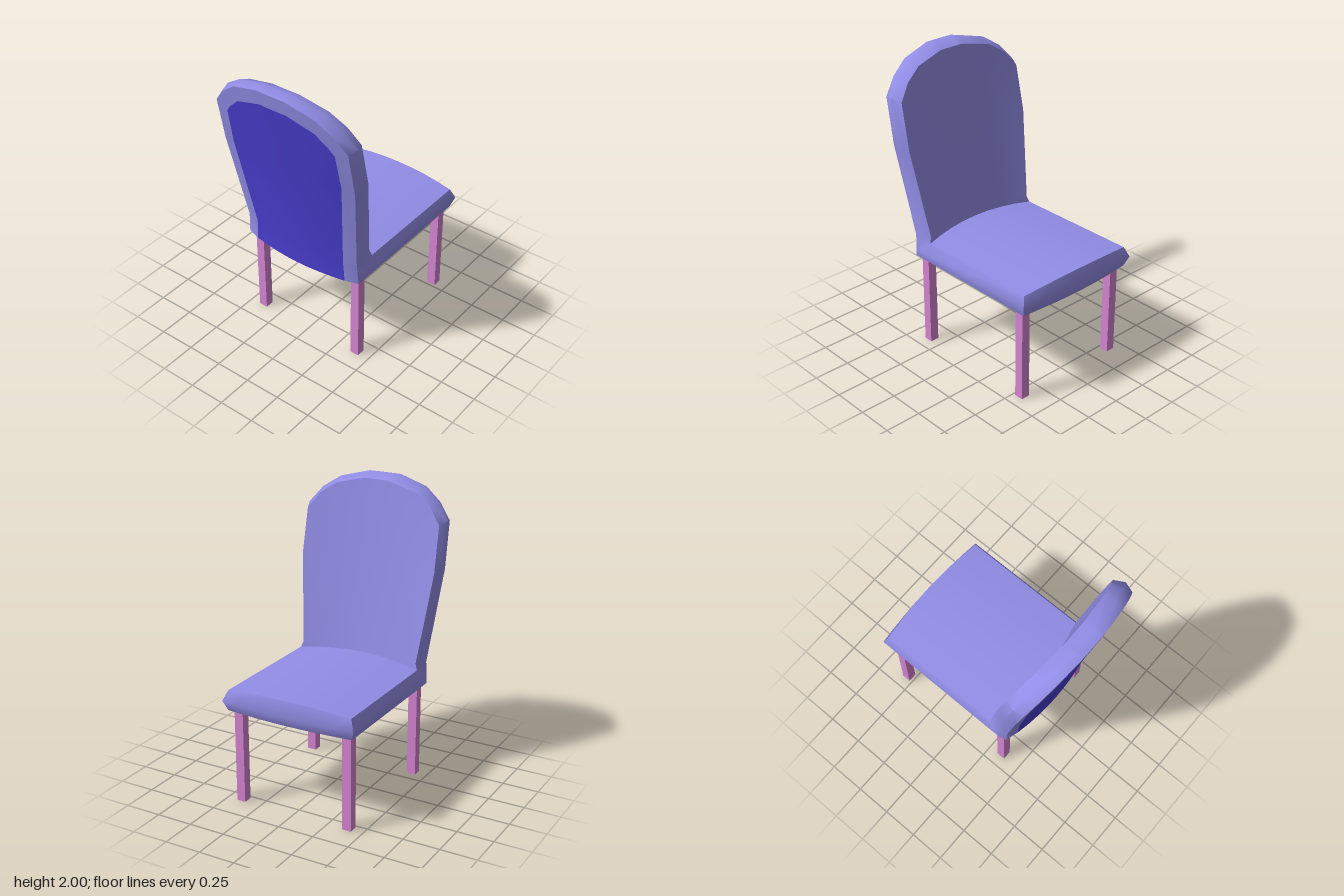
import * as THREE from 'three';
import { toCreasedNormals } from 'three/addons/utils/BufferGeometryUtils.js';

const COLS = 8;

// One row across the chair: half width, height, depth at the centre, bow, crown
function rowPoints([hw, y, z, bow, crown = 0]) {
  const points = [];
  for (let j = 0; j <= COLS; j++) {
    const u = (j / COLS) * 2 - 1;
    const x = u * hw;
    points.push([x, y + crown * (1 - u * u), z + bow * x * x]);
  }
  return points;
}

function quad(out, a, b, c, d) {
  out.push(...a, ...b, ...c, ...a, ...c, ...d);
}

// Surface spanning every row of a layer
function fill(out, rows, flip) {
  for (let i = 0; i < rows.length - 1; i++) {
    for (let j = 0; j < COLS; j++) {
      const a = rows[i][j], b = rows[i][j + 1], c = rows[i + 1][j + 1], d = rows[i + 1][j];
      if (flip) quad(out, a, b, c, d);
      else quad(out, a, d, c, b);
    }
  }
}

// Closed outline of a layer: front edge, one side, top edge, other side
function outline(rows) {
  const last = rows.length - 1;
  return [
    ...rows[0],
    ...rows.slice(1, last).map((r) => r[COLS]),
    ...[...rows[last]].reverse(),
    ...rows.slice(1, last).reverse().map((r) => r[0]),
  ];
}

// Band joining the outlines of two layers
function band(out, rowsA, rowsB) {
  const a = outline(rowsA), b = outline(rowsB);
  for (let k = 0; k < a.length; k++) {
    const n = (k + 1) % a.length;
    quad(out, a[k], a[n], b[n], b[k]);
  }
}

function toMesh(name, positions, material, crease) {
  const geometry = new THREE.BufferGeometry();
  geometry.setAttribute('position', new THREE.Float32BufferAttribute(positions, 3));
  geometry.computeVertexNormals();
  const mesh = new THREE.Mesh(toCreasedNormals(geometry, crease), material);
  mesh.name = name;
  return mesh;
}

export function createModel() {
  const model = new THREE.Group();
  model.name = 'chair';

  const lavender = new THREE.MeshStandardMaterial({ color: 0x928de6 });
  lavender.name = 'lavender upholstery';
  const blue = new THREE.MeshStandardMaterial({ color: 0x4a3fd0 });
  blue.name = 'deep blue lining';
  const pink = new THREE.MeshStandardMaterial({ color: 0xd585d3 });
  pink.name = 'pink legs';

  // Each layer runs from the seat's front edge, round the fold, up the backrest
  const cushion = [
    [0.445, 0.79, -0.64, 0.13, 0.028], [0.445, 0.79, 0.33, -0.3, 0.028],
    [0.43, 0.83, 0.335, -0.3, 0.01], [0.495, 1.43, 0.44, -0.21],
    [0.49, 1.735, 0.493, -0.17], [0.41, 1.84, 0.511, -0.17],
    [0.3, 1.915, 0.524, -0.17], [0.1, 1.965, 0.532, -0.17],
  ].map(rowPoints);
  const edge = [
    [0.475, 0.72, -0.67, 0.12], [0.475, 0.72, 0.42, -0.3],
    [0.455, 0.8, 0.41, -0.3], [0.525, 1.43, 0.51, -0.21],
    [0.52, 1.755, 0.57, -0.17], [0.43, 1.865, 0.59, -0.17],
    [0.31, 1.945, 0.603, -0.17], [0.1, 2.0, 0.612, -0.17],
  ].map(rowPoints);
  const rim = [
    [0.45, 0.65, -0.64, 0.13], [0.45, 0.65, 0.475, -0.3],
    [0.44, 0.8, 0.48, -0.3], [0.505, 1.43, 0.585, -0.21],
    [0.5, 1.74, 0.635, -0.17], [0.415, 1.845, 0.652, -0.17],
    [0.3, 1.93, 0.665, -0.17], [0.1, 1.985, 0.672, -0.17],
  ].map(rowPoints);
  const panel = [
    [0.36, 0.65, -0.58, 0.1], [0.36, 0.65, 0.48, -0.3],
    [0.35, 0.8, 0.482, -0.3], [0.42, 1.45, 0.588, -0.21],
    [0.41, 1.7, 0.628, -0.17], [0.375, 1.745, 0.635, -0.17],
    [0.29, 1.825, 0.648, -0.17], [0.1, 1.885, 0.658, -0.17],
  ].map(rowPoints);

  // Seat and backrest upholstery with its rounded rim
  const upholstery = [];
  fill(upholstery, cushion, false);
  band(upholstery, cushion, edge);
  band(upholstery, edge, rim);
  band(upholstery, rim, panel);
  model.add(toMesh('seatAndBackrest', upholstery, lavender, 0.9));

  // Lining under the seat and behind the backrest
  const lining = [];
  fill(lining, panel, true);
  model.add(toMesh('lining', lining, blue, 0.6));

  // Four square legs
  const legGeometry = new THREE.BoxGeometry(0.062, 0.652, 0.062);
  for (const [end, z] of [['front', -0.55], ['rear', 0.35]]) {
    for (const side of [-1, 1]) {
      const leg = new THREE.Mesh(legGeometry, pink);
      leg.name = `${end}Leg${side > 0 ? 'Left' : 'Right'}`;
      leg.position.set(side * 0.395, 0.326, z);
      model.add(leg);
    }
  }
  return model;
}
